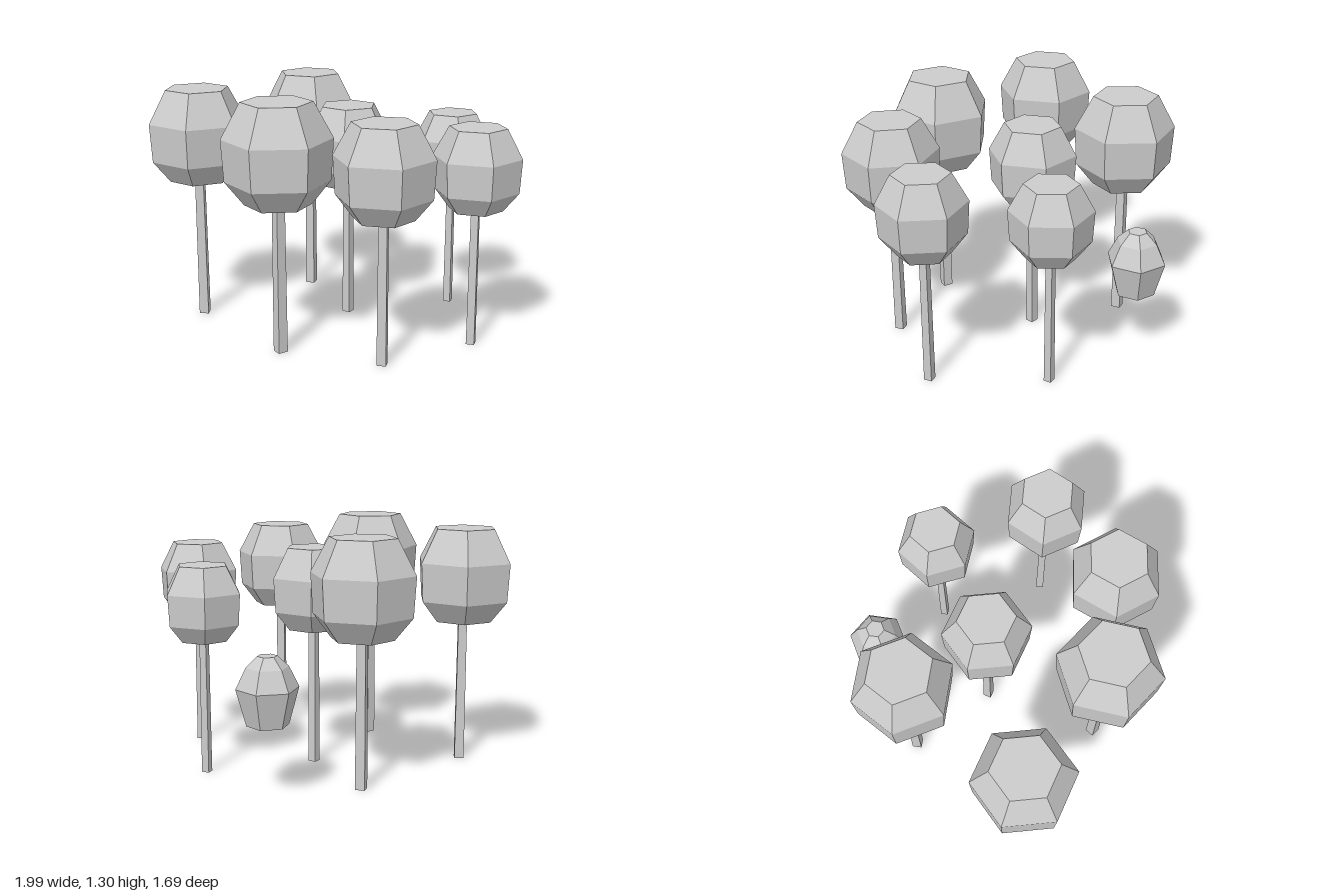
import * as THREE from 'three';

const stone = new THREE.MeshStandardMaterial({ color: 0xcccccc });
stone.name = 'paleGrey';
stone.flatShading = true;
stone.side = THREE.DoubleSide;

// Six-sided faceted solid from [radius, height] rings, with a corner on +x
function facetedForm(name, rings) {
  const points = rings.map(([r, y]) => new THREE.Vector2(r, y));
  const mesh = new THREE.Mesh(new THREE.LatheGeometry(points, 6, Math.PI / 6), stone);
  mesh.name = name;
  return mesh;
}

// Trees: x, z, canopy radius, turn in degrees
const TREES = [
  [-0.74, 0.195, 0.267, 78],
  [-0.335, -0.455, 0.269, 2],
  [0.02, -0.075, 0.235, 18],
  [-0.14, 0.563, 0.277, 37],
  [0.4, 0.555, 0.253, -5],
  [0.77, 0.16, 0.227, -1],
  [0.52, -0.404, 0.211, 6.5],
];

function createTree(x, z, r, turn) {
  const tree = new THREE.Group();
  tree.name = 'tree';
  const base = 0.487 + 1.085 * r;
  const h = 1.86 * r;

  // Canopy: flat top and bottom, nearly straight waist
  tree.add(facetedForm('canopy', [
    [0, base],
    [0.61 * r, base],
    [0.955 * r, base + 0.232 * h],
    [r, base + 0.645 * h],
    [0.645 * r, base + h],
    [0, base + h],
  ]));

  // Trunk: slightly tapered square post, open at the ends
  const s = 0.19 * r * Math.SQRT1_2;
  const post = new THREE.CylinderGeometry(s * 0.9, s, base, 4, 1, true, Math.PI / 4);
  const trunk = new THREE.Mesh(post, stone);
  trunk.name = 'trunk';
  trunk.position.y = base / 2;
  tree.add(trunk);

  tree.position.set(x, 0, z);
  tree.rotation.y = -THREE.MathUtils.degToRad(turn);
  return tree;
}

export function createModel() {
  const grove = new THREE.Group();
  grove.name = 'grove';
  for (const t of TREES) grove.add(createTree(...t));

  // Raised bush, open underneath
  const bush = facetedForm('bush', [
    [0.107, 0.373],
    [0.158, 0.56],
    [0.107, 0.665],
    [0.05, 0.72],
    [0, 0.72],
  ]);
  bush.position.set(0.08, 0, -0.695);
  bush.rotation.y = -THREE.MathUtils.degToRad(32);
  grove.add(bush);
  return grove;
}
